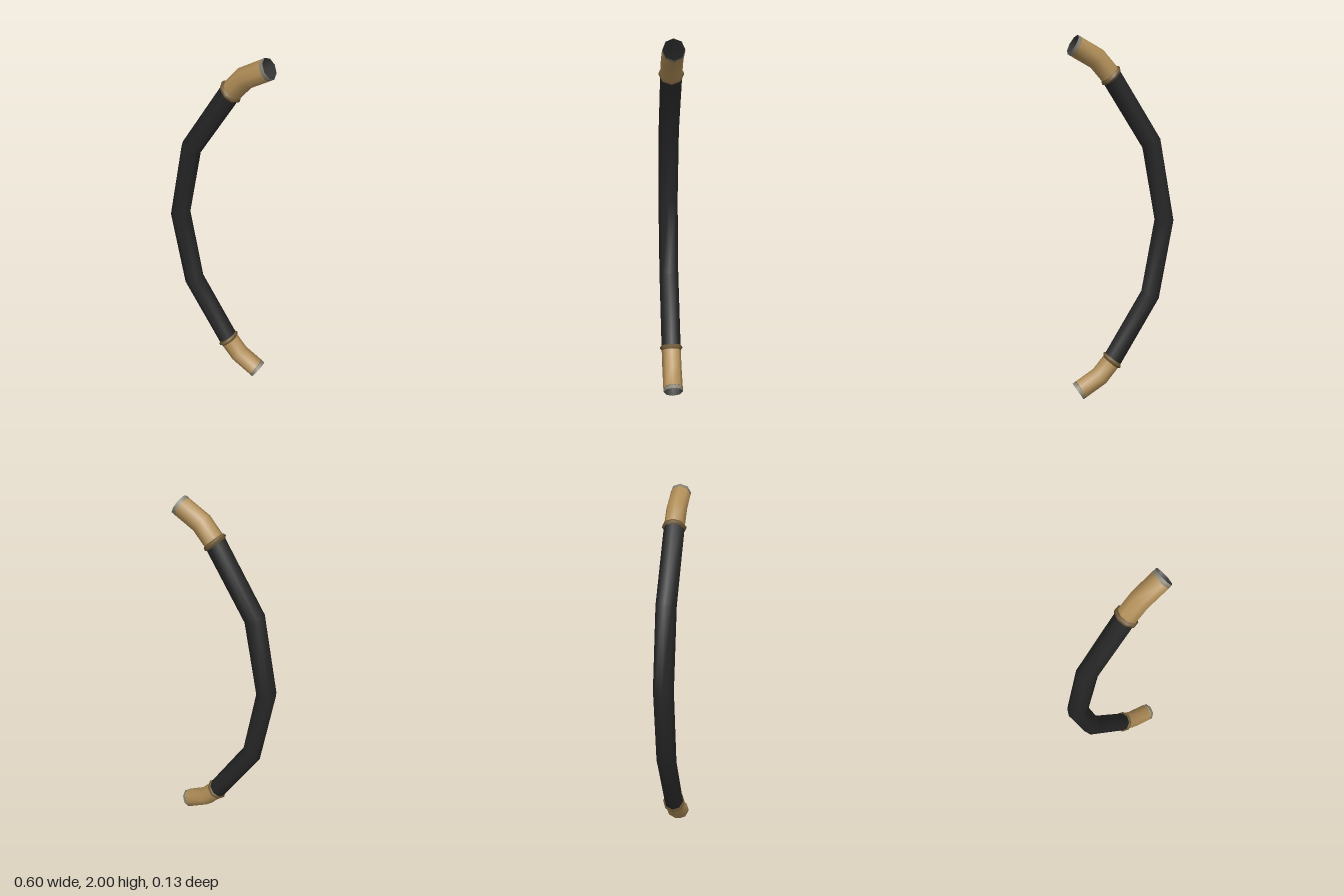
import * as THREE from 'three';

const SIDES = 8;
const mat = (name, color, side = THREE.FrontSide) => {
  const m = new THREE.MeshStandardMaterial({ color, side });
  m.name = name;
  return m;
};

// Sweep an octagon along [x, y, radius] points in the z = 0 plane, mitred at bends
function sweep(points, inward = false) {
  const pos = [], index = [];
  const p = points.map(([x, y]) => new THREE.Vector2(x, y));
  const dir = i => p[i + 1].clone().sub(p[i]).normalize();
  points.forEach(([x, y, r], i) => {
    const a = dir(Math.max(i - 1, 0)), b = dir(Math.min(i, p.length - 2));
    const t = a.clone().add(b).normalize();
    const mitre = r / t.dot(a);
    for (let j = 0; j < SIDES; j++) {
      const ang = (j / SIDES) * Math.PI * 2, c = Math.cos(ang) * mitre;
      pos.push(x + t.y * c, y - t.x * c, Math.sin(ang) * r);
    }
  });
  for (let i = 0; i < points.length - 1; i++) {
    for (let j = 0; j < SIDES; j++) {
      const k = (j + 1) % SIDES;
      const a = i * SIDES + j, b = i * SIDES + k, c = a + SIDES, d = b + SIDES;
      if (inward) index.push(a, b, c, b, d, c);
      else index.push(a, c, b, b, c, d);
    }
  }
  const g = new THREE.BufferGeometry();
  g.setAttribute('position', new THREE.Float32BufferAttribute(pos, 3));
  g.setIndex(index);
  g.computeVertexNormals();
  return g;
}

export function createModel() {
  const rubber = mat('black rubber', 0x262626);
  const brass = mat('tan brass', 0xb08d57);
  const clampMetal = mat('dark brass', 0x6e5836, THREE.DoubleSide);
  const steel = mat('grey edge', 0x85806f);
  const lining = mat('dark lining', 0x3a3a3a);

  const group = new THREE.Group();
  const add = (name, geometry, material) => {
    const m = new THREE.Mesh(geometry, material);
    m.name = name;
    group.add(m);
  };
  const flip = pts => pts.map(([x, y, r]) => [x, 2 - y, r]).reverse();
  const R = 0.055;

  // Upper half of the centre line
  const mid = [-0.245, 1], bend = [-0.165, 1.43], joint = [0.065, 1.794];
  const elbow = [0.14, 1.88], lip = [0.25, 1.942], tip = [0.268, 1.953];
  const withR = (pts, r) => pts.map(([x, y]) => [x, y, r]);

  // Long bent hose
  const upper = withR([bend, joint], R);
  add('hose', sweep([...flip(upper), [...mid, R], ...upper]), rubber);

  // End pipes, lips and clamps, top and bottom
  const along = s => [joint[0] + 0.68 * s, joint[1] + 0.73 * s];
  const clamp = [[-0.014, 0.055], [-0.004, 0.064], [0.004, 0.064], [0.014, 0.055]]
    .map(([s, r]) => [...along(s), r]);
  const parts = [
    ['EndPipe', withR([joint, elbow, lip], R), brass],
    ['EndLip', withR([lip, tip], R), steel],
    ['Clamp', clamp, clampMetal],
  ];
  for (const [name, pts, material] of parts) {
    add('upper' + name, sweep(pts), material);
    add('lower' + name, sweep(flip(pts)), material);
  }

  // Inner wall seen through the open ends
  const inner = withR([bend, joint, elbow, tip], 0.0535);
  add('innerWall', sweep([...flip(inner), [...mid, 0.0535], ...inner], true), lining);

  return group;
}
